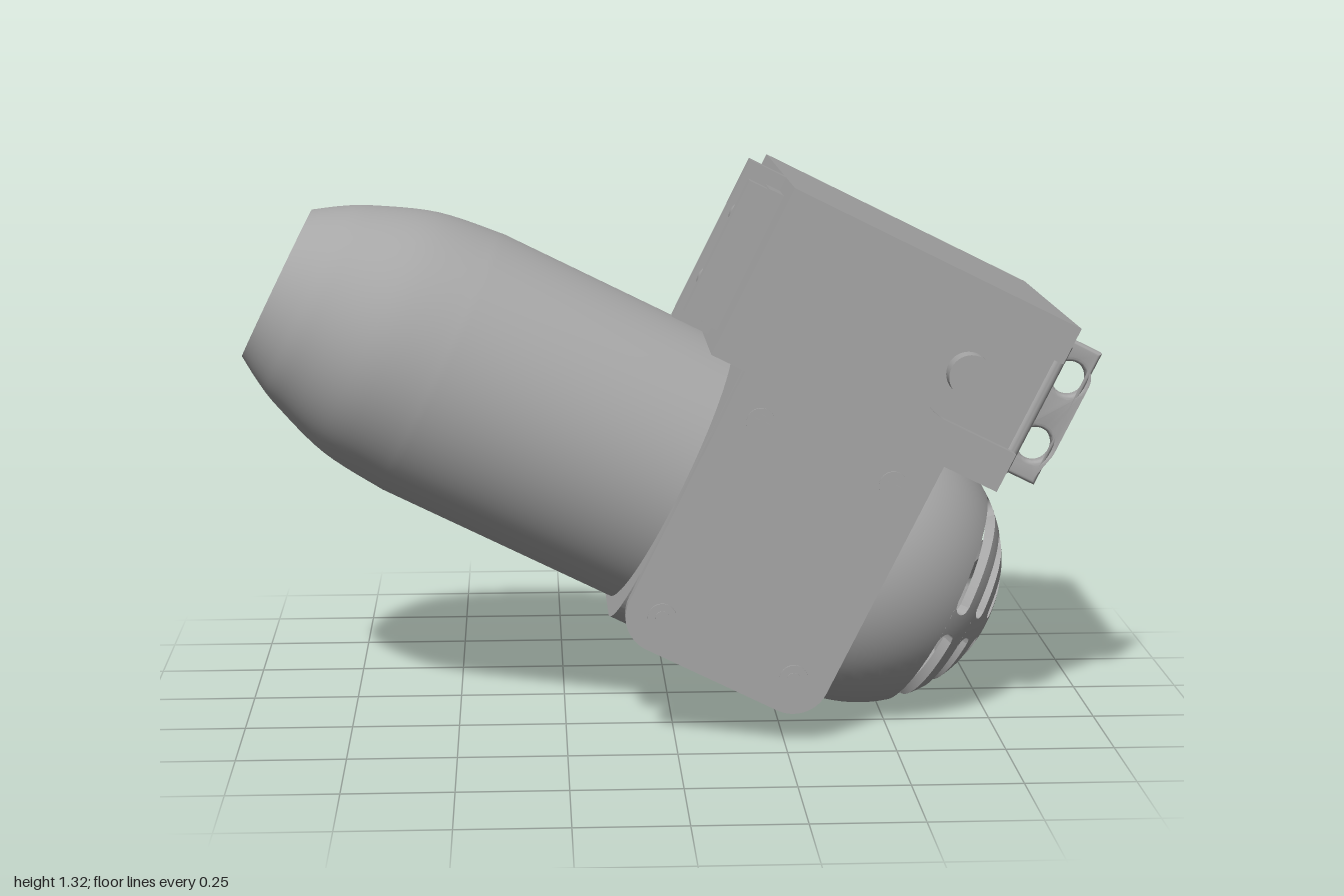
import * as THREE from 'three';
import { toCreasedNormals } from 'three/addons/utils/BufferGeometryUtils.js';
import { RoundedBoxGeometry } from 'three/addons/geometries/RoundedBoxGeometry.js';

const TILT = 0.459;              // whole unit leans nose-down
const AXIS_Y = 0.52, AXIS_Z = 0.057; // duct axis
const DOME_U = 0.25, DOME_R = 0.346;

export function createModel() {
  const grey = new THREE.MeshStandardMaterial({ color: 0xa6a6a6 });
  grey.name = 'plain grey';
  const root = new THREE.Group();
  root.name = 'ductUnit';
  const body = new THREE.Group();
  body.name = 'tiltedBody';
  body.rotation.z = -TILT;
  root.add(body);

  const add = (name, geo, x = 0, y = 0, z = 0, parent = body) => {
    const m = new THREE.Mesh(geo, grey);
    m.name = name;
    m.position.set(x, y, z);
    parent.add(m);
    return m;
  };
  // box given by its limits
  const box = (name, x0, x1, y0, y1, z0, z1) =>
    add(name, new THREE.BoxGeometry(x1 - x0, y1 - y0, z1 - z0), (x0 + x1) / 2, (y0 + y1) / 2, (z0 + z1) / 2);
  // cylinder along z
  const pin = (name, r, x, y, z0, z1) =>
    add(name, new THREE.CylinderGeometry(r, r, z1 - z0, 40).rotateX(Math.PI / 2), x, y, (z0 + z1) / 2);
  const extrude = (shape, depth, opts = {}) => toCreasedNormals(
    new THREE.ExtrudeGeometry(shape, { depth, bevelEnabled: false, curveSegments: 20, ...opts }), 0.5);
  const hole = (x, y, r) => new THREE.Path().absarc(x, y, r, 0, Math.PI * 2, true);

  // Hollow duct tapering to an open mouth
  const taper = new THREE.SplineCurve([
    [-1.279, 0.19], [-1.22, 0.228], [-1.155, 0.261], [-1.01, 0.313], [-0.85, 0.333],
  ].map(p => new THREE.Vector2(...p))).getPoints(24);
  const outer = [...taper, new THREE.Vector2(0.24, 0.333)];
  const inner = outer.map(p => new THREE.Vector2(p.y, p.x)).map(p => new THREE.Vector2(p.x - 0.02, p.y)).reverse();
  const profile = [...outer.map(p => new THREE.Vector2(p.y, p.x)), ...inner, new THREE.Vector2(0.19, -1.279)];
  add('duct', toCreasedNormals(new THREE.LatheGeometry(profile, 72).rotateZ(-Math.PI / 2), 0.6), 0, AXIS_Y, AXIS_Z);

  // Collar block around the duct, rounded below
  const h = 0.342, c = 0.16, top = 0.857 - AXIS_Y;
  const collar = new THREE.Shape();
  collar.moveTo(-h, top);
  collar.lineTo(-h, -h + c);
  collar.absarc(-h + c, -h + c, c, Math.PI, Math.PI * 1.5, false);
  collar.lineTo(h - c, -h - 0.004);
  collar.absarc(h - c, -h + c, c, -Math.PI / 2, 0, false);
  collar.lineTo(h, top);
  collar.closePath();
  collar.holes.push(hole(0, 0, 0.325));
  add('collar', extrude(collar, 0.505).rotateY(Math.PI / 2), -0.254, AXIS_Y, AXIS_Z);

  // Slotted dome: every piece is a curved block bounded by angles
  const dome = new THREE.Group();
  dome.name = 'slottedDome';
  dome.position.set(DOME_U, AXIS_Y, AXIS_Z);
  body.add(dome);
  const domePiece = (name, f0, f1, a0, a1, na, nf) => {
    const g = new THREE.BoxGeometry(1, 1, 1, na, nf, 1);
    const p = g.attributes.position, n = g.attributes.normal;
    const radial = [];
    for (let i = 0; i < p.count; i++) {
      const f = f0 + (f1 - f0) * (p.getY(i) + 0.5);
      const a = a0(f) + (a1(f) - a0(f)) * (p.getX(i) + 0.5);
      const r = DOME_R - (p.getZ(i) < 0 ? 0.025 : 0);
      const d = [Math.cos(f), Math.sin(f) * Math.cos(a), -Math.sin(f) * Math.sin(a)];
      radial.push(Math.abs(n.getZ(i)) > 0.5 ? d.map(v => v * Math.sign(n.getZ(i))) : null);
      p.setXYZ(i, d[0] * r, d[1] * r, d[2] * r);
    }
    g.computeVertexNormals();
    radial.forEach((d, i) => d && n.setXYZ(i, ...d));
    add(name, g, 0, 0, 0, dome);
  };
  const Q = Math.PI / 2, spoke = 0.075;
  // [middle angle of the row, half width]; the first row holds round holes
  const rows = [[0.175, 0.058], [0.4, 0.058], [0.635, 0.064], [0.875, 0.07]];
  let from = 0.0005;
  rows.forEach(([mid, half], k) => {
    const start = k === 0 ? Q / 2 : (spoke + half) / Math.sin(mid);
    const end = Q - start;
    const bulge = f => Math.sqrt(Math.max(0, half * half - (f - mid) ** 2)) / Math.sin(f);
    domePiece('domeRing', from, mid - half, () => 0, () => Math.PI * 2, 72, 4);
    for (let q = 0; q < 4; q++) {
      domePiece('domeSpoke', mid - half, mid + half,
        f => q * Q + end + bulge(f), f => (q + 1) * Q + start - bulge(f), 8, 14);
    }
    from = mid + half;
  });
  domePiece('domeRim', from, Q, () => 0, () => Math.PI * 2, 72, 12);

  // Housing core and its two side plates
  const L = -0.337, R = 0.387, B = 0.857, T = 1.273, KX = 0.21, KY = 1.068, KR = 0.115;
  box('housing', L, R, B, T, -0.286, 0.401);
  const sidePlate = (slotted) => {
    const s = new THREE.Shape(), w = 0.252, b = 0.183, r = 0.085;
    s.moveTo(L, B);
    s.lineTo(-w, B);
    s.lineTo(-w, b + r);
    s.absarc(-w + r, b + r, r, Math.PI, Math.PI * 1.5, false);
    s.lineTo(w - r, b);
    s.absarc(w - r, b + r, r, -Math.PI / 2, 0, false);
    s.lineTo(w, B);
    s.lineTo(R, B);
    if (slotted) {
      s.lineTo(R, KY - KR);
      s.absarc(KX, KY, KR, -Math.PI / 2, Math.PI / 2, true);
      s.lineTo(R, KY + KR);
    }
    s.lineTo(R, T);
    s.lineTo(L, T);
    s.closePath();
    return extrude(s, 0.035);
  };
  add('frontPlate', sidePlate(true), 0, 0, 0.4);
  add('backPlate', sidePlate(false), 0, 0, -0.32);

  // Shaft end in the front slot, pulley on the back
  pin('shaftEnd', 0.05, KX, KY, 0.39, 0.449);
  [['pulleyInnerFlange', 0.115, -0.342, -0.318], ['pulleyHub', 0.1, -0.396, -0.34],
    ['pulleyOuterFlange', 0.115, -0.408, -0.395], ['pulleyShaft', 0.05, -0.452, -0.405]]
    .forEach(([name, r, z0, z1]) => pin(name, r, KX, KY, z0, z1));

  // Screws on both plates, cross-headed in the upper row
  for (const side of [1, -1]) {
    const face = side > 0 ? 0.435 : -0.32;
    for (const x of [-0.168, 0.168]) {
      for (const y of [0.266, 0.768]) {
        const span = (t) => [Math.min(face, face + side * t), Math.max(face, face + side * t)];
        pin('screwHead', 0.033, x, y, ...span(0.004));
        if (y < 0.5) pin('screwSocket', 0.016, x, y, ...span(0.007));
        else {
          box('screwCross', x - 0.018, x + 0.018, y - 0.005, y + 0.005, ...span(0.006));
          box('screwCross', x - 0.005, x + 0.005, y - 0.018, y + 0.018, ...span(0.006));
        }
      }
    }
  }

  // End cover with soft edges
  add('endCover', new RoundedBoxGeometry(0.03, 0.34, 0.69, 4, 0.013), R - 0.003, 1.063, 0.06);

  // Two-hole lug standing on the end cover
  const lug = new THREE.Shape();
  lug.moveTo(0.38, 0.9);
  lug.lineTo(0.487, 0.9);
  lug.lineTo(0.487, 1.223);
  lug.lineTo(0.38, 1.223);
  lug.closePath();
  lug.holes.push(hole(0.454, 0.977, 0.05), hole(0.454, 1.149, 0.05));
  add('lug', extrude(lug, 0.022, {
    bevelEnabled: true, bevelSize: 0.01, bevelThickness: 0.01, bevelSegments: 4,
  }), 0, 0, 0.249);

  // Hinge leaves and bolts on the duct side of the housing
  box('hingeLeaf', -0.428, L, 0.87, T, 0.165, 0.215);
  box('hingeBase', -0.375, L, 0.9, 1.24, 0.23, 0.33);
  box('hingeOuterLeaf', -0.422, L, 0.905, 1.237, 0.28, 0.325);
  for (const y of [0.985, 1.15]) pin('hingeBolt', 0.034, -0.385, y, 0.14, 0.285);

  // Small peg above the duct
  add('peg', new THREE.CylinderGeometry(0.032, 0.032, 0.05, 28).rotateZ(Math.PI / 2), L - 0.02, 0.9, 0.055);

  return root;
}
